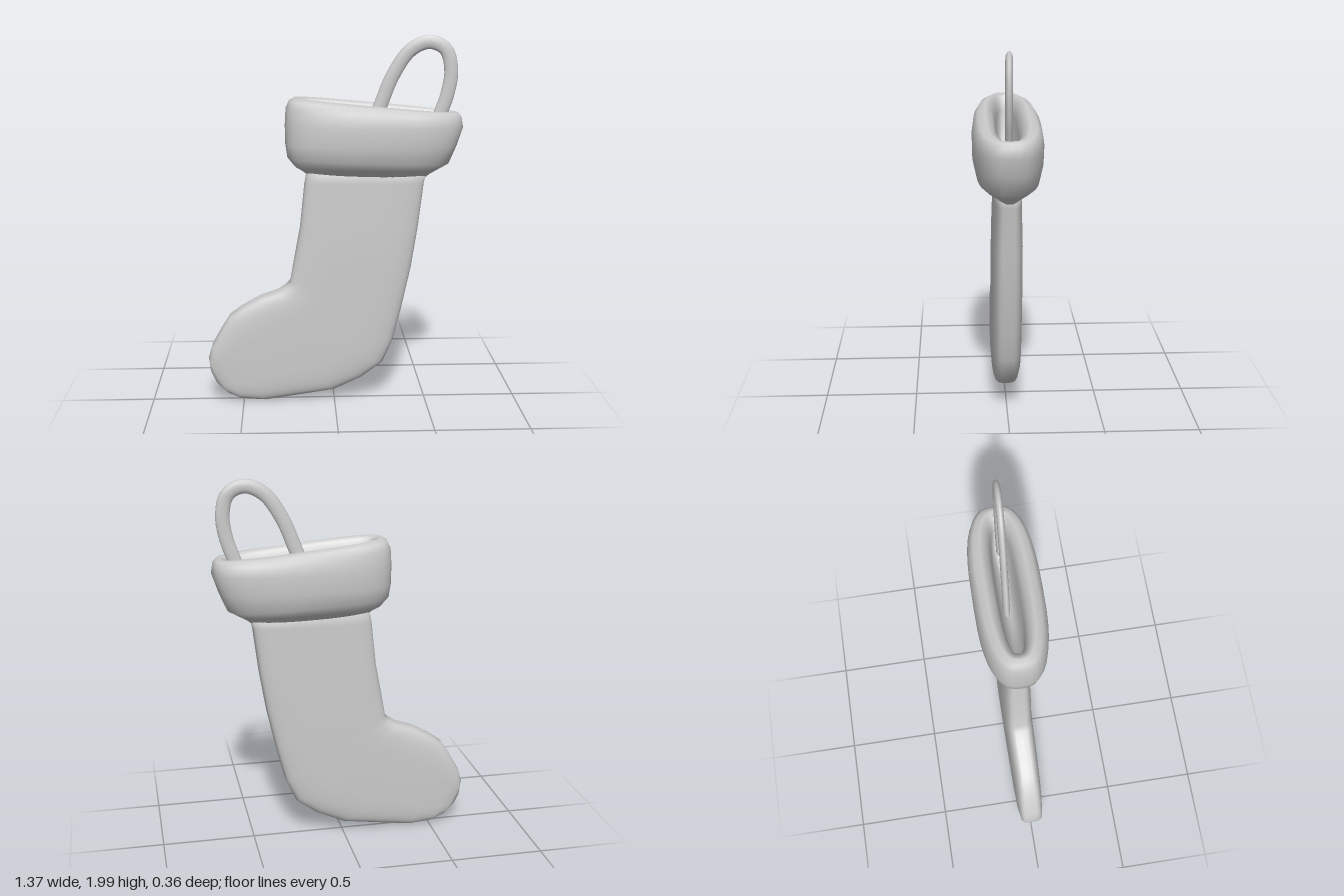
import * as THREE from 'three';

const material = new THREE.MeshStandardMaterial({ color: 0xcccccc, side: THREE.DoubleSide });

// Closed skin through superellipse rings, listed bottom to top.
// Each ring: [left x, left y, right x, right y, half thickness in z]
function loft(rings, power, segments = 40) {
  const positions = [], index = [];
  const shaped = (v) => Math.sign(v) * Math.abs(v) ** (2 / power);
  for (const [lx, ly, rx, ry, depth] of rings) {
    for (let i = 0; i < segments; i++) {
      const t = (i / segments) * Math.PI * 2;
      const c = shaped(Math.cos(t)), s = shaped(Math.sin(t));
      positions.push((lx + rx) / 2 + c * (rx - lx) / 2, (ly + ry) / 2 + c * (ry - ly) / 2, s * depth);
    }
  }
  for (let j = 0; j < rings.length - 1; j++) {
    for (let i = 0; i < segments; i++) {
      const a = j * segments + i, b = j * segments + (i + 1) % segments;
      index.push(a, a + segments, b, b, a + segments, b + segments);
    }
  }
  // End caps
  const bottom = rings.length * segments, last = bottom - segments;
  for (const [lx, ly, rx, ry] of [rings[0], rings[rings.length - 1]]) {
    positions.push((lx + rx) / 2, (ly + ry) / 2, 0);
  }
  for (let i = 0; i < segments; i++) {
    const k = (i + 1) % segments;
    index.push(bottom, i, k, bottom + 1, last + k, last + i);
  }
  const geometry = new THREE.BufferGeometry();
  geometry.setAttribute('position', new THREE.Float32BufferAttribute(positions, 3));
  geometry.setIndex(index);
  geometry.computeVertexNormals();
  return geometry;
}

function addPart(group, name, geometry) {
  const mesh = new THREE.Mesh(geometry, material);
  mesh.name = name;
  group.add(mesh);
  return mesh;
}

export function createModel() {
  const group = new THREE.Group();
  group.name = 'stocking';

  // Foot and leg, from the toe up to the neck
  addPart(group, 'footAndLeg', loft([
    [-0.68, 0.18, -0.64, 0.10, 0.045],
    [-0.69, 0.25, -0.58, 0.045, 0.06],
    [-0.67, 0.32, -0.51, 0.015, 0.068],
    [-0.62, 0.41, -0.38, 0.005, 0.073],
    [-0.57, 0.49, -0.20, 0.03, 0.075],
    [-0.50, 0.54, 0.00, 0.06, 0.077],
    [-0.40, 0.595, 0.15, 0.13, 0.079],
    [-0.31, 0.625, 0.265, 0.215, 0.08],
    [-0.265, 0.655, 0.32, 0.34, 0.08],
    [-0.24, 0.68, 0.365, 0.52, 0.08],
    [-0.215, 0.82, 0.415, 0.75, 0.08],
    [-0.185, 0.98, 0.45, 0.97, 0.078],
    [-0.16, 1.22, 0.48, 1.22, 0.07],
    [-0.14, 1.32, 0.50, 1.30, 0.07],
  ], 4));

  // Puffy cuff, rolling over the rim into the opening
  addPart(group, 'cuff', loft([
    [-0.14, 1.26, 0.48, 1.24, 0.06],
    [-0.17, 1.285, 0.51, 1.265, 0.085],
    [-0.21, 1.31, 0.55, 1.29, 0.125],
    [-0.25, 1.36, 0.61, 1.325, 0.16],
    [-0.26, 1.43, 0.65, 1.42, 0.178],
    [-0.262, 1.53, 0.683, 1.52, 0.18],
    [-0.257, 1.62, 0.675, 1.57, 0.17],
    [-0.24, 1.66, 0.66, 1.592, 0.147],
    [-0.21, 1.677, 0.635, 1.597, 0.11],
    [-0.175, 1.66, 0.60, 1.585, 0.075],
    [-0.15, 1.59, 0.57, 1.52, 0.055],
    [-0.13, 1.42, 0.54, 1.38, 0.045],
  ], 2.8));

  // Flattened hanging loop, turned slightly across the opening
  const path = [
    [0.16, 1.40], [0.20, 1.52], [0.245, 1.63], [0.31, 1.79], [0.40, 1.92], [0.50, 1.963],
    [0.585, 1.925], [0.615, 1.82], [0.60, 1.70], [0.56, 1.58], [0.50, 1.40],
  ].map(([x, y]) => new THREE.Vector3(x, y, (x - 0.42) * 0.1));
  const loop = addPart(group, 'hangingLoop',
    new THREE.TubeGeometry(new THREE.CatmullRomCurve3(path), 48, 0.037, 12));
  loop.scale.z = 0.5;

  return group;
}
